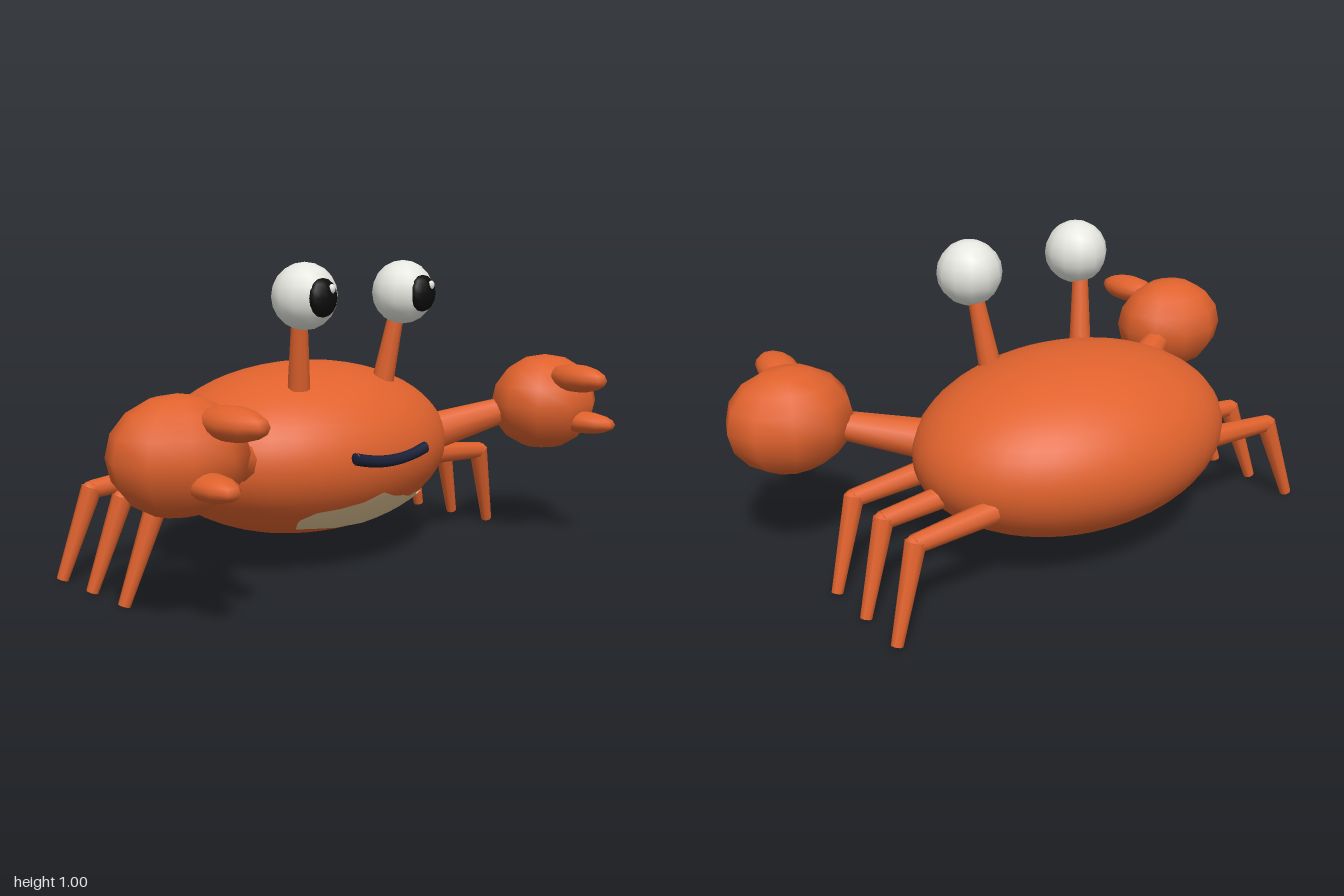
import * as THREE from 'three';

const mat = (name, color, side = THREE.FrontSide) => {
  const m = new THREE.MeshStandardMaterial({ color, side });
  m.name = name;
  return m;
};

export function createModel() {
  const shell = mat('orange shell', 0xe0622d);
  const cream = mat('cream belly', 0xe3c596, THREE.DoubleSide);
  const white = mat('eye white', 0xe8e8e2);
  const black = mat('pupil black', 0x0c0c0c);
  const navy = mat('mouth navy', 0x1b2038);
  const crab = new THREE.Group();
  crab.name = 'crab';

  const add = (name, geometry, material) => {
    const mesh = new THREE.Mesh(geometry, material);
    mesh.name = name;
    crab.add(mesh);
    return mesh;
  };

  const ellipsoid = (name, material, pos, radii, w = 12, h = 8) => {
    const mesh = add(name, new THREE.SphereGeometry(1, w, h), material);
    mesh.position.set(...pos);
    mesh.scale.set(...radii);
    return mesh;
  };

  // Tapered rod from point a to point b
  const rod = (name, a, b, ra, rb, sides = 8) => {
    const p = new THREE.Vector3(...a), q = new THREE.Vector3(...b);
    const dir = q.clone().sub(p);
    const mesh = add(name, new THREE.CylinderGeometry(rb, ra, dir.length(), sides), shell);
    mesh.position.copy(p).add(q).multiplyScalar(0.5);
    mesh.quaternion.setFromUnitVectors(new THREE.Vector3(0, 1, 0), dir.normalize());
    return mesh;
  };

  // Body
  const C = [0, 0.373, -0.147], R = [0.553, 0.288, 0.413];
  ellipsoid('body', shell, C, R, 40, 28);

  // Ragged belly patch hugging the lower front of the body: x, bottom y, top y
  const outline = [
    [-0.25, 0.19, 0.2], [-0.22, 0.155, 0.225], [-0.15, 0.15, 0.232], [-0.07, 0.14, 0.245],
    [0, 0.14, 0.27], [0.06, 0.132, 0.248], [0.12, 0.138, 0.238], [0.17, 0.132, 0.225],
    [0.2, 0.135, 0.235], [0.25, 0.142, 0.21], [0.3, 0.155, 0.215], [0.34, 0.185, 0.195],
  ];
  const rows = 8, pos = [], idx = [];
  outline.forEach(([x, lo, hi], i) => {
    for (let j = 0; j <= rows; j++) {
      const y = lo + (hi - lo) * j / rows;
      const d = 1 - (x / R[0]) ** 2 - ((y - C[1]) / R[1]) ** 2;
      const z = C[2] + R[2] * Math.sqrt(Math.max(d, 0));
      // push slightly outward from the body centre
      pos.push(x * 1.015, C[1] + (y - C[1]) * 1.015, C[2] + (z - C[2]) * 1.015);
      if (i && j) {
        const b = i * (rows + 1) + j, a = b - rows - 1;
        idx.push(a - 1, b - 1, b, a - 1, b, a);
      }
    }
  });
  const patch = new THREE.BufferGeometry();
  patch.setAttribute('position', new THREE.Float32BufferAttribute(pos, 3));
  patch.setIndex(idx);
  patch.computeVertexNormals();
  add('bellyPatch', patch, cream);

  // Mouth, with end caps
  const smile = new THREE.QuadraticBezierCurve3(
    new THREE.Vector3(-0.153, 0.4, 0.274),
    new THREE.Vector3(0, 0.356, 0.284),
    new THREE.Vector3(0.153, 0.4, 0.274));
  add('mouth', new THREE.TubeGeometry(smile, 16, 0.019, 8), navy);
  for (const s of [-1, 1]) {
    ellipsoid('mouthEnd', navy, [s * 0.153, 0.4, 0.274], [0.006, 0.019, 0.019], 8, 6);
  }

  for (const s of [-1, 1]) {
    const side = s > 0 ? 'left' : 'right';

    // Eye on its stalk
    rod(side + 'EyeStalk', [s * 0.187, 0.6, 0.046], [s * 0.214, 0.83, 0.082], 0.037, 0.026, 10);
    ellipsoid(side + 'Eye', white, [s * 0.215, 0.895, 0.108], [0.105, 0.105, 0.105], 12, 10);
    ellipsoid(side + 'Pupil', black, [s * 0.218, 0.893, 0.195], [0.054, 0.06, 0.03], 12, 8);
    ellipsoid(side + 'EyeGlint', white, [s * 0.218 + 0.018, 0.92, 0.217], [0.013, 0.015, 0.009], 8, 6);

    // Arm and claw
    rod(side + 'Arm', [s * 0.445, 0.4, 0.06], [s * 0.67, 0.465, 0.18], 0.066, 0.046, 10);
    ellipsoid(side + 'Claw', shell, [s * 0.795, 0.49, 0.255], [0.207, 0.17, 0.176], 10, 8);
    const upper = ellipsoid(side + 'UpperPincer', shell, [s * 0.745, 0.592, 0.432], [0.064, 0.048, 0.126], 10, 8);
    upper.rotation.y = -s * 0.12;
    const lower = ellipsoid(side + 'LowerPincer', shell, [s * 0.81, 0.43, 0.425], [0.057, 0.038, 0.116], 10, 8);
    lower.rotation.y = s * 0.08;

    // Three walking legs, each bent at the knee
    for (const z of [0.018, -0.162, -0.342]) {
      rod(side + 'UpperLeg', [s * 0.45, 0.308, z], [s * 0.72, 0.288, z], 0.039, 0.03);
      ellipsoid(side + 'Knee', shell, [s * 0.72, 0.286, z], [0.03, 0.03, 0.03], 8, 6);
      rod(side + 'LowerLeg', [s * 0.715, 0.295, z], [s * 0.81, 0.006, z - 0.034], 0.033, 0.019);
    }
  }
  return crab;
}
